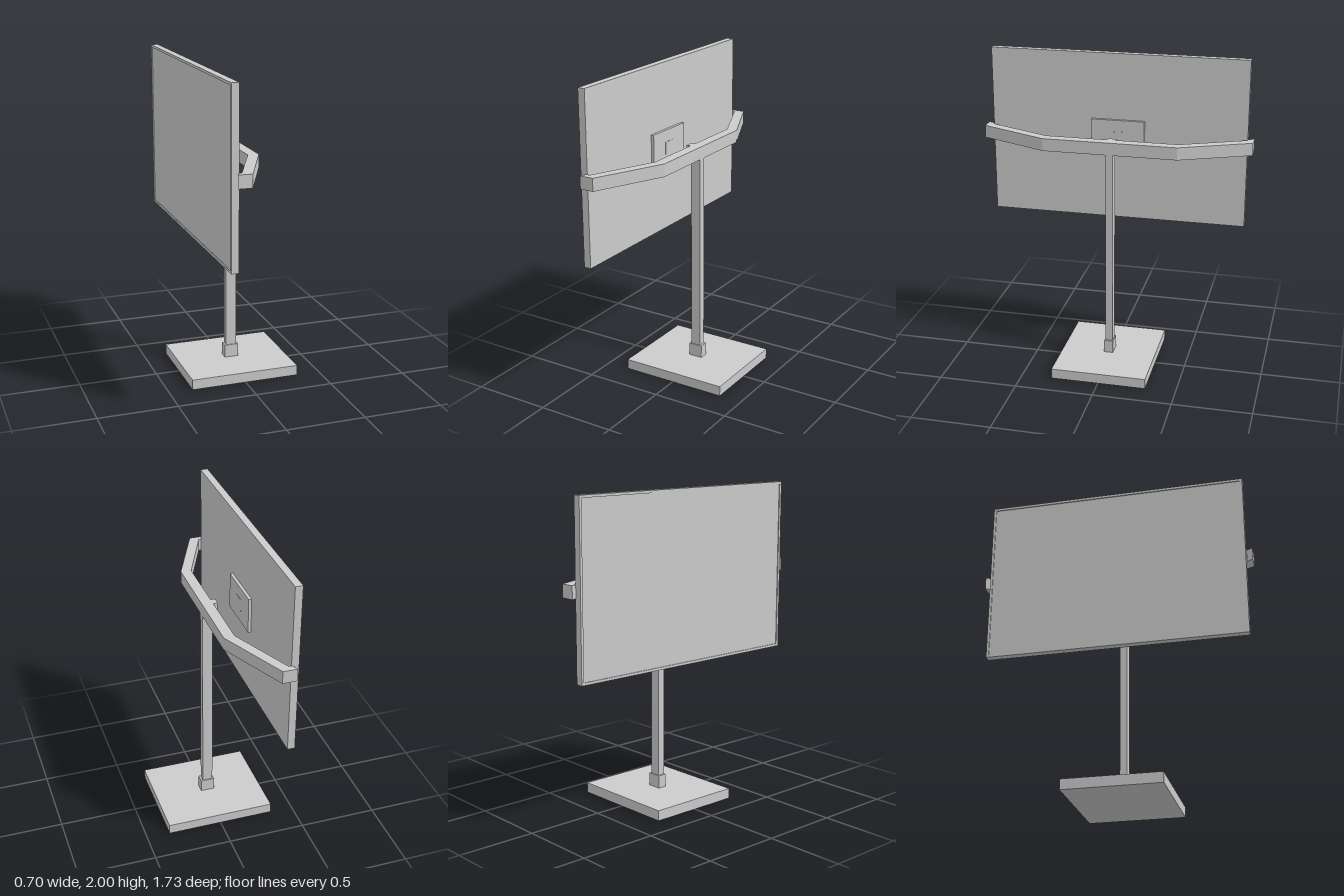
import * as THREE from 'three';

const material = new THREE.MeshStandardMaterial({ color: 0xcccccc, flatShading: true });

// Box given by its extents on each axis
function box(name, [x0, x1], [y0, y1], [z0, z1]) {
  const mesh = new THREE.Mesh(new THREE.BoxGeometry(x1 - x0, y1 - y0, z1 - z0), material);
  mesh.position.set((x0 + x1) / 2, (y0 + y1) / 2, (z0 + z1) / 2);
  mesh.name = name;
  return mesh;
}

// Bent arm: half outline in (x, z), mirrored across z = 0
function bentArm() {
  const outer = [[0.033, 0.425], [-0.163, 0.863], [-0.252, 0.863], [-0.235, 0.825], [-0.213, 0.821], [-0.035, 0.42]];
  const mirrored = outer.map(([x, z]) => [x, -z]).reverse();
  const shape = new THREE.Shape([...outer, ...mirrored].map(([x, z]) => new THREE.Vector2(x, z)));
  const geometry = new THREE.ExtrudeGeometry(shape, { depth: 0.08, bevelEnabled: false });
  geometry.rotateX(-Math.PI / 2);
  const mesh = new THREE.Mesh(geometry, material);
  mesh.position.y = 1.42;
  mesh.name = 'bentArm';
  return mesh;
}

// Thin rim standing around the display face
function screenRim() {
  const halfW = 0.823, halfH = 0.54, rim = 0.016;
  const rect = (w, h) => [[-w, -h], [w, -h], [w, h], [-w, h]].map(([x, y]) => new THREE.Vector2(x, y));
  const shape = new THREE.Shape(rect(halfW, halfH));
  shape.holes.push(new THREE.Path(rect(halfW - rim, halfH - rim).reverse()));
  const geometry = new THREE.ExtrudeGeometry(shape, { depth: 0.006, bevelEnabled: false });
  geometry.rotateY(-Math.PI / 2);
  const mesh = new THREE.Mesh(geometry, material);
  mesh.position.set(-0.269, 1.46, 0);
  mesh.name = 'screenRim';
  return mesh;
}

export function createModel() {
  const model = new THREE.Group();
  model.name = 'displayStand';

  // Stand
  model.add(
    box('base', [-0.35, 0.35], [0, 0.065], [-0.305, 0.305]),
    box('postCollar', [-0.045, 0.045], [0.065, 0.148], [-0.029, 0.029]),
    box('post', [-0.034, 0.032], [0.065, 1.42], [-0.023, 0.023]),
    bentArm(),
    box('armStub', [-0.064, -0.03], [1.43, 1.499], [-0.027, 0.027]),
  );

  // Display panel, facing -x, with its mounting plate behind
  const display = new THREE.Group();
  display.name = 'display';
  display.add(
    box('panel', [-0.269, -0.229], [0.92, 2], [-0.823, 0.823]),
    screenRim(),
    box('mountPlate', [-0.229, -0.21], [1.345, 1.575], [-0.172, 0.172]),
    box('mountPad', [-0.21, -0.208], [1.42, 1.5], [-0.042, 0.042]),
  );
  model.add(display);
  return model;
}
